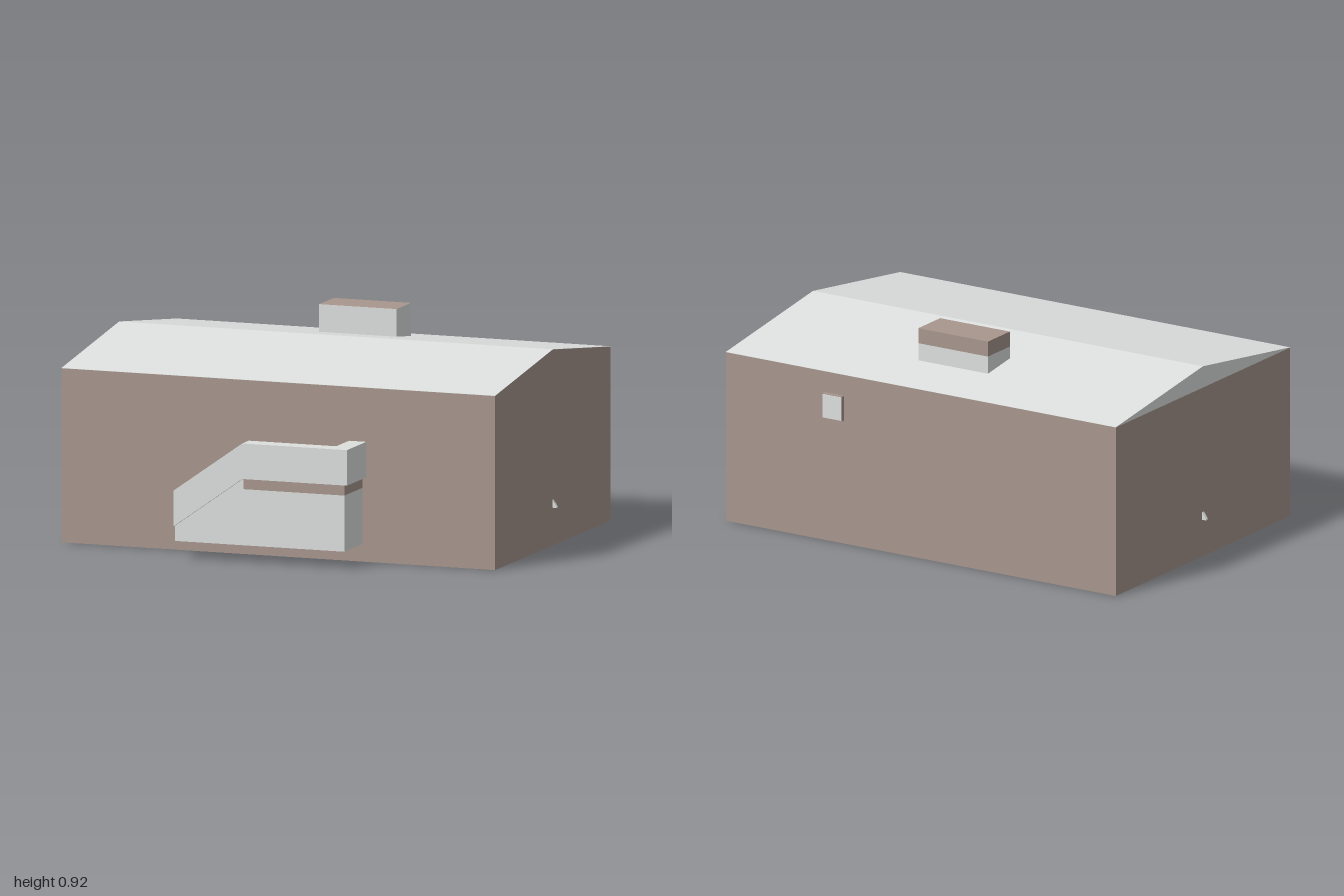
import * as THREE from 'three';

const mat = (name, color) => {
  const m = new THREE.MeshStandardMaterial({ color });
  m.name = name;
  return m;
};

export function createModel() {
  const house = new THREE.Group();
  house.name = 'house';
  const gray = mat('pale gray', 0xdde0de);
  const brown = mat('taupe brown', 0xa8978d);
  const red = mat('red brown', 0x75544a);

  const add = (name, geo, material, parent = house) => {
    const mesh = new THREE.Mesh(geo, material);
    mesh.name = name;
    parent.add(mesh);
  };
  const group = (name) => {
    const g = new THREE.Group();
    g.name = name;
    house.add(g);
    return g;
  };
  // Box given by its limits on each axis
  const box = (name, [x0, x1], [y0, y1], [z0, z1], material, parent) => {
    const geo = new THREE.BoxGeometry(x1 - x0, y1 - y0, z1 - z0);
    geo.translate((x0 + x1) / 2, (y0 + y1) / 2, (z0 + z1) / 2);
    add(name, geo, material, parent);
  };
  const extrude = (points, depth) => new THREE.ExtrudeGeometry(
    new THREE.Shape(points.map(([a, b]) => new THREE.Vector2(a, b))),
    { depth, bevelEnabled: false });
  // Side profile of (z, y) points, swept between two x positions
  const sweepX = (name, points, x0, x1, material, parent) =>
    add(name, extrude(points, x1 - x0).rotateY(-Math.PI / 2).translate(x1, 0, 0), material, parent);
  // Front profile of (x, y) points, swept between two z positions
  const sweepZ = (name, points, z0, z1, material, parent) =>
    add(name, extrude(points, z1 - z0).translate(0, 0, z0), material, parent);

  const X = 0.98, front = 0.57, back = -0.78, ridge = -0.105;
  const eave = 0.745, top = 0.838, t = 0.006, skin = 0.001;

  // Thin walls, open underneath
  const walls = group('walls');
  const e = eave - skin;
  box('frontWall', [-X, X], [0, e], [front - t, front], brown, walls);
  box('backWall', [-X, X], [0, e], [back, back + t], brown, walls);
  for (const s of [-1, 1]) {
    const [x0, x1] = s > 0 ? [X - t, X] : [-X, t - X];
    box('sideWall', [x0, x1], [0, e], [back + t, front - t], brown, walls);
    sweepX('gable', [[back, e], [front, e], [ridge, top - skin]], x0, x1, s > 0 ? brown : gray, walls);
  }

  // Folded roof skin
  sweepX('roof', [[back, e], [ridge, top - skin], [front, e], [front, eave], [ridge, top], [back, eave]],
    -X, X, gray);

  // Inner linings: red skirting band, pale wall above, flat ceiling
  const lining = group('innerLining');
  const zi = front - t, zb = back + t, xi = X - t, d = 0.004;
  for (const [name, y, m] of [['skirtingBand', [0.2, 0.41], red], ['innerWall', [0.41, 0.738], gray]]) {
    box(name, [-xi, xi], y, [zi - d, zi], m, lining);
    box(name, [-xi, xi], y, [zb, zb + d], m, lining);
    box(name, [-xi, d - xi], y, [zb + d, zi - d], m, lining);
    box(name, [xi - d, xi], y, [zb + d, zi - d], m, lining);
  }
  box('ceiling', [-xi, xi], [0.738, 0.742], [zb, zi], gray, lining);

  // Door and window panels on the inside of the front wall
  box('innerDoor', [0.15, 0.32], [0.4, 0.67], [zi - 0.025, zi - d], gray);
  box('innerWindow', [-0.9, -0.42], [0.43, 0.7], [zi - 0.025, zi - d], gray);

  // Chimney with a partly brown cap (face order: +x, -x, top, bottom, front, back)
  const chimney = group('chimney');
  box('chimneyBase', [-0.175, 0.175], [0.76, 0.855], [-0.53, -0.36], gray, chimney);
  box('chimneyCap', [-0.175, 0.175], [0.855, 0.921], [-0.53, -0.36],
    [gray, brown, brown, gray, gray, brown], chimney);

  // Entrance: hollow base of thin panels, whose ends reach just inside the wall
  const porch = group('entrance');
  const low = 0.075, deck = 0.361, under = 0.315, inside = 0.52;
  sweepZ('basePanel', [[-0.385, low], [0.38, low], [0.38, under], [-0.075, under],
    [-0.075, deck], [-0.385, 0.14]], 0.77, 0.78, gray, porch);
  box('baseEnd', [0.37, 0.38], [low, under], [inside, 0.77], gray, porch);
  box('baseDivider', [-0.085, -0.075], [low, under], [front, 0.77], gray, porch);
  box('rampEnd', [-0.385, -0.375], [low, 0.125], [inside, 0.77], gray, porch);
  sweepZ('ramp', [[-0.385, 0.125], [-0.075, deck - 0.015], [-0.075, deck], [-0.385, 0.14]],
    inside, 0.77, gray, porch);
  box('landing', [-0.075, 0.38], [under, deck], [front, 0.78], brown, porch);

  // Parapet along the ramp and around the landing
  sweepZ('frontParapet', [[-0.385, 0.14], [-0.075, deck], [0.398, deck], [0.398, 0.513],
    [-0.075, 0.513], [-0.385, 0.293]], 0.72, 0.797, gray, porch);
  box('sideParapet', [0.32, 0.398], [deck, 0.513], [front, 0.72], gray, porch);

  // Small window on the back wall
  box('backWindowFrame', [0.385, 0.485], [0.543, 0.652], [-0.797, back], brown);
  box('backWindowPane', [0.388, 0.482], [0.546, 0.649], [-0.8, -0.797], gray);

  // Wedge-shaped lamps on both gable walls
  for (const s of [-1, 1]) {
    const pts = [[s * X, 0.162], [s, 0.162], [s, 0.167], [s * X, 0.196]];
    sweepZ('sideLamp', pts, ridge - 0.007, ridge + 0.007, gray);
  }
  return house;
}
